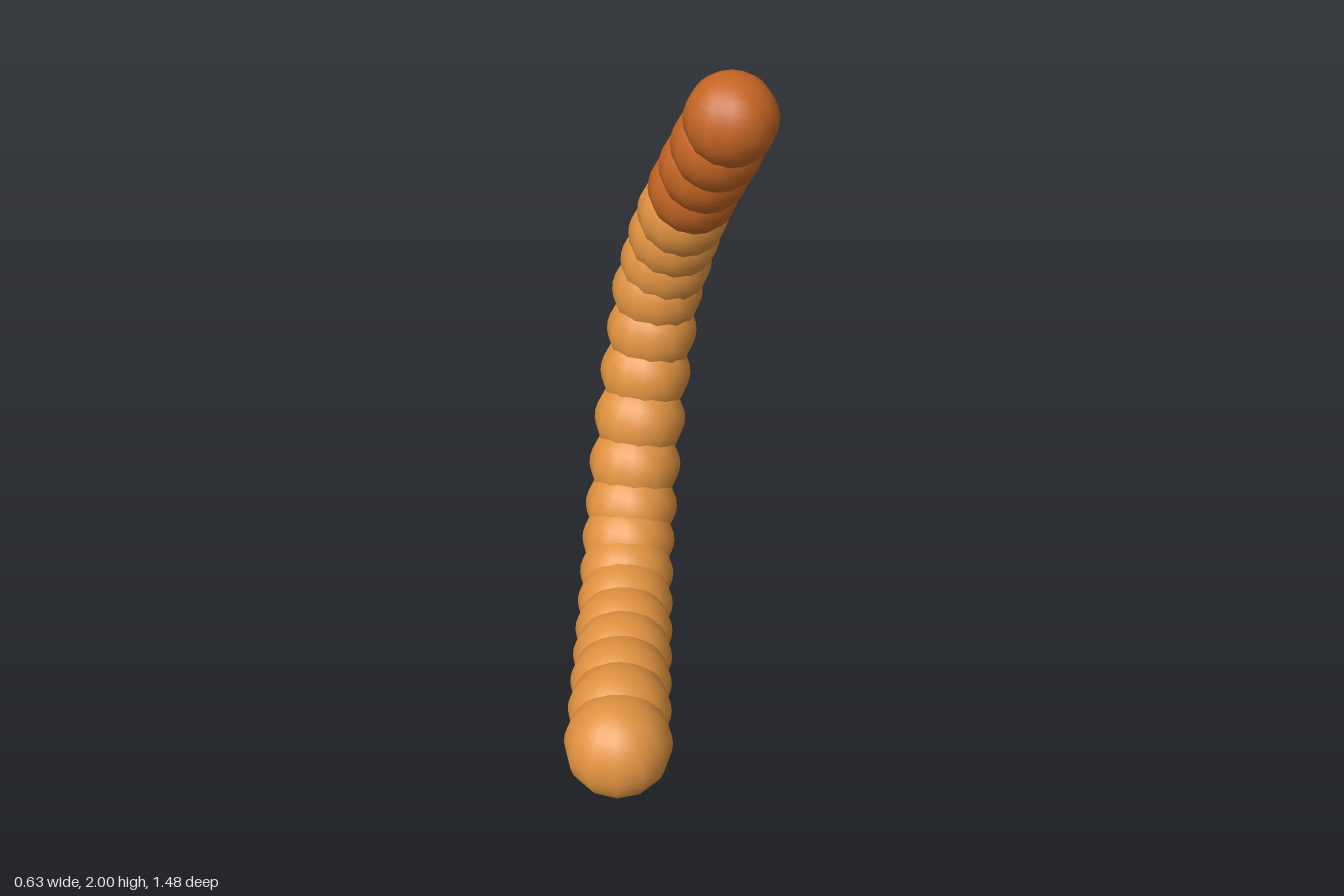
import * as THREE from 'three';

// One bead per row: x, y, z, radius, from the front end on the ground up to the raised tip
const BEADS = [
  [-0.148, 0.17, 0.575, 0.168],
  [-0.149, 0.186, 0.455, 0.163],
  [-0.150, 0.187, 0.338, 0.162],
  [-0.150, 0.189, 0.222, 0.161],
  [-0.150, 0.195, 0.108, 0.16],
  [-0.150, 0.211, -0.008, 0.159],
  [-0.149, 0.246, -0.118, 0.158],
  [-0.146, 0.312, -0.215, 0.157],
  [-0.138, 0.397, -0.296, 0.156],
  [-0.127, 0.517, -0.373, 0.155],
  [-0.111, 0.656, -0.448, 0.154],
  [-0.093, 0.8, -0.517, 0.152],
  [-0.072, 0.942, -0.56, 0.15],
  [-0.053, 1.083, -0.584, 0.15],
  [-0.024, 1.198, -0.58, 0.149],
  [0.003, 1.312, -0.554, 0.148],
  [0.032, 1.42, -0.51, 0.146],
  [0.066, 1.535, -0.455, 0.144],
  [0.1, 1.642, -0.394, 0.143],
  [0.135, 1.75, -0.328, 0.142],
  [0.17, 1.86, -0.27, 0.14],
];
const TIP_COUNT = 4;

export function createModel() {
  const model = new THREE.Group();
  model.name = 'curvedBeadChain';

  const lightOrange = new THREE.MeshStandardMaterial({ color: 0xe09240 });
  lightOrange.name = 'light orange';
  const darkOrange = new THREE.MeshStandardMaterial({ color: 0xc56524 });
  darkOrange.name = 'dark orange';

  // Twelve-sided from above, rounder along the meridians
  const ball = new THREE.SphereGeometry(1, 12, 16);

  BEADS.forEach(([x, y, z, radius], i) => {
    const isTip = i >= BEADS.length - TIP_COUNT;
    const bead = new THREE.Mesh(ball, isTip ? darkOrange : lightOrange);
    bead.name = `${isTip ? 'tipSegment' : 'bodySegment'}${i + 1}`;
    bead.position.set(x, y, z);
    bead.scale.setScalar(radius);
    model.add(bead);
  });

  return model;
}
